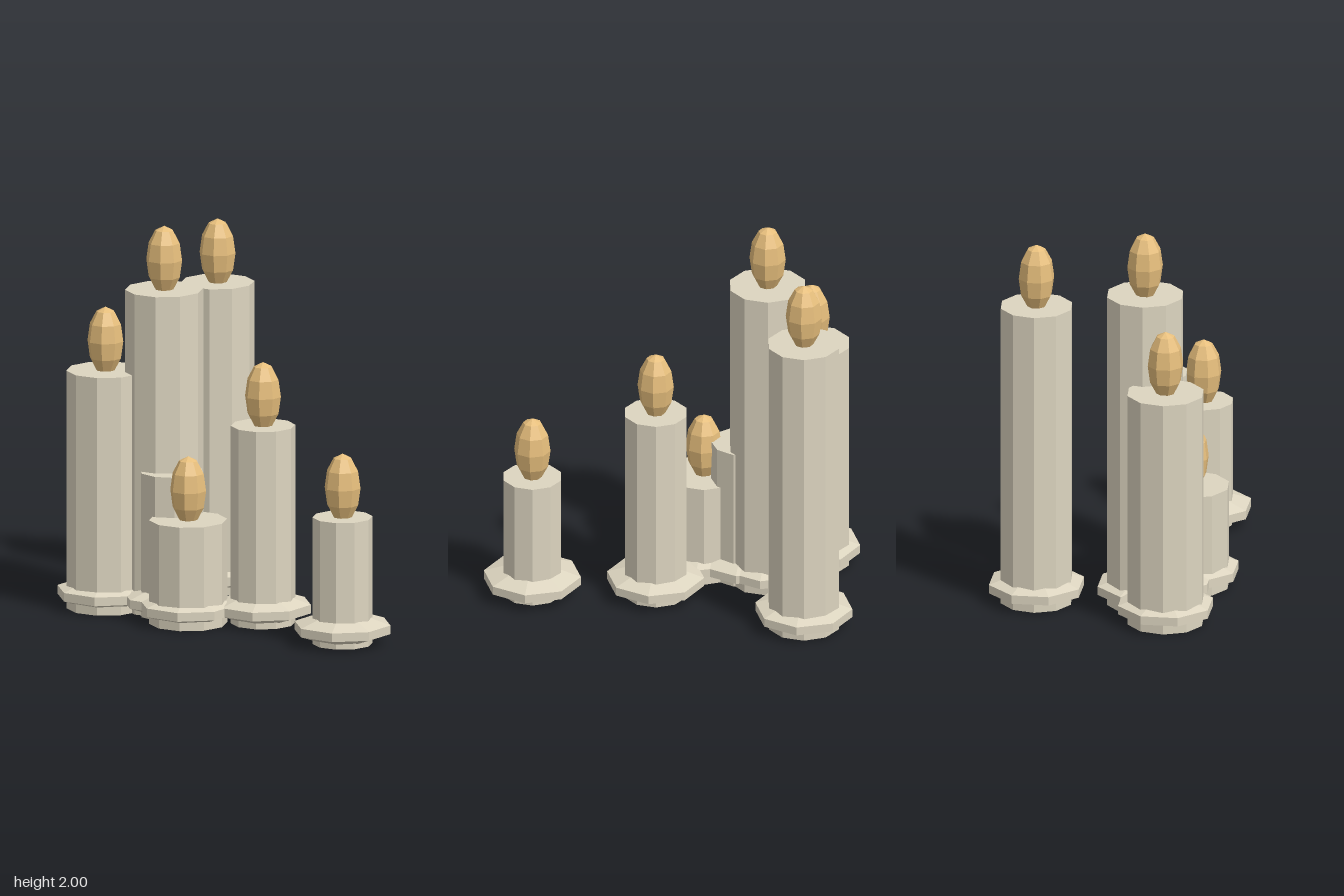
import * as THREE from 'three';

const waxMaterial = new THREE.MeshStandardMaterial({ color: 0xddd5c0, flatShading: true });
const flameMaterial = new THREE.MeshStandardMaterial({ color: 0xe6be7c, flatShading: true });

// Eight-sided bevelled drip dish
const dishProfile = [[0, 0.015], [0.12, 0.015], [0.25, 0.06], [0.25, 0.105], [0.15, 0.138], [0, 0.138]]
  .map(([r, y]) => new THREE.Vector2(r, y));
const dishGeometry = new THREE.LatheGeometry(dishProfile, 8);

// Faceted, stretched flame; its lowest tip sinks into the wax
const flameGeometry = new THREE.SphereGeometry(0.0935, 8, 6);
flameGeometry.scale(1, 0.178 / 0.0935, 1);

function addPart(parent, name, geometry, material, y = 0) {
  const mesh = new THREE.Mesh(geometry, material);
  mesh.name = name;
  mesh.position.y = y;
  parent.add(mesh);
}

function createCandle({ name, x, z, radius, height, turn = 0, lit = true }) {
  const candle = new THREE.Group();
  candle.name = name;
  candle.position.set(x, 0, z);
  candle.rotation.y = turn;
  addPart(candle, 'waxPillar', new THREE.CylinderGeometry(radius, radius, height, 10), waxMaterial, height / 2);
  addPart(candle, 'dripDish', dishGeometry, waxMaterial);
  if (lit) addPart(candle, 'flame', flameGeometry, flameMaterial, height + 0.152);
  return candle;
}

export function createModel() {
  const model = new THREE.Group();
  model.name = 'candleCluster';
  const candles = [
    { name: 'tallCandle', x: -0.38, z: -0.03, radius: 0.2, height: 1.67 },
    { name: 'backCandle', x: -0.22, z: -0.56, radius: 0.188, height: 1.6 },
    { name: 'rightCandle', x: -0.68, z: 0, radius: 0.2, height: 1.24 },
    { name: 'leftCandle', x: 0.18, z: 0.17, radius: 0.165, height: 1.03 },
    { name: 'outerCandle', x: 0.68, z: 0.55, radius: 0.154, height: 0.66 },
    { name: 'frontCandle', x: -0.19, z: 0.26, radius: 0.2, height: 0.54 },
    // Unlit stub merged into the tall candle
    { name: 'stubCandle', x: -0.315, z: 0.09, radius: 0.165, height: 0.75, turn: Math.PI / 2, lit: false },
  ];
  for (const spec of candles) model.add(createCandle(spec));
  return model;
}
